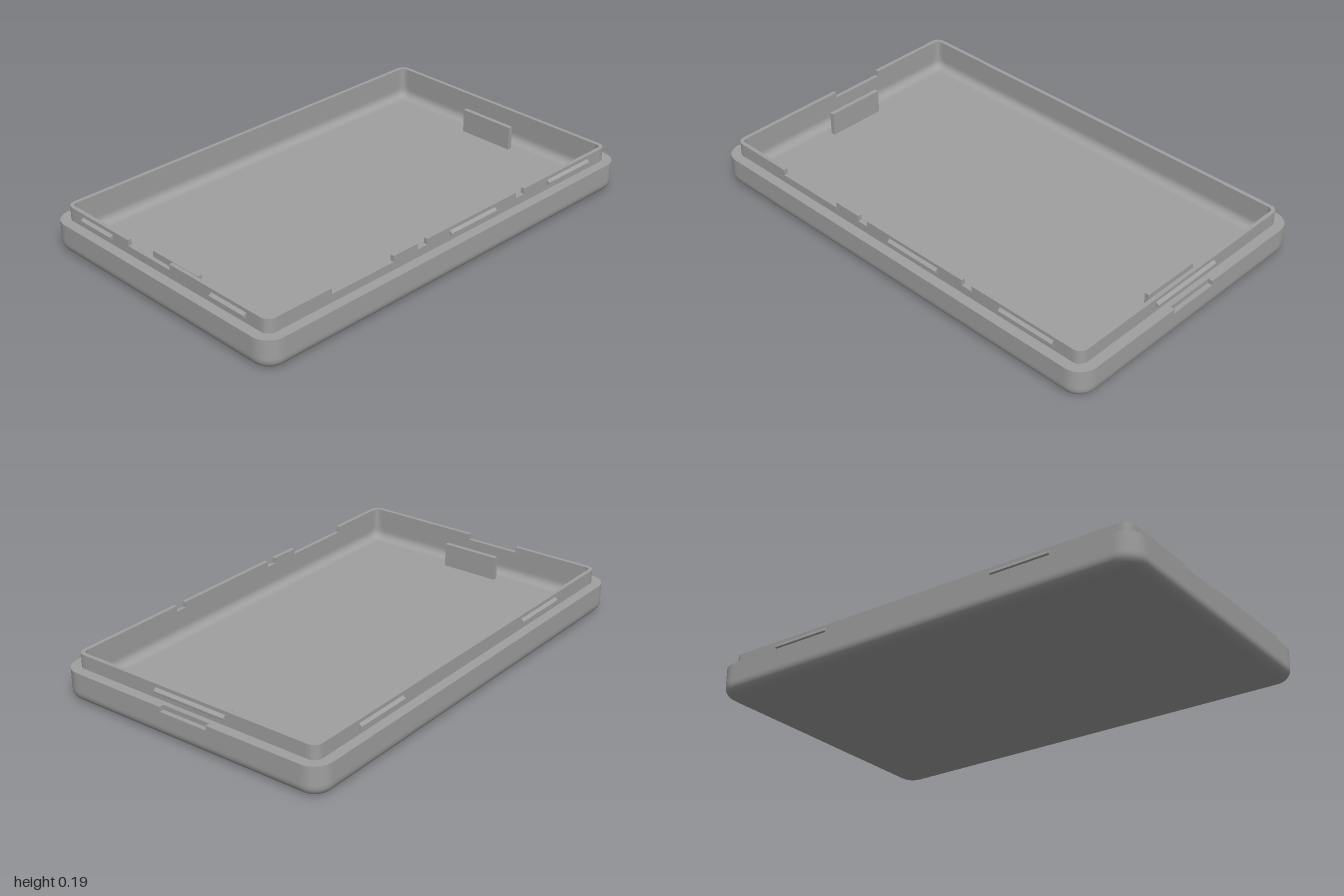
import * as THREE from 'three';
import { toCreasedNormals } from 'three/addons/utils/BufferGeometryUtils.js';

const HX = 1, HZ = 0.63, R = 0.08;      // outer half sizes and corner radius
const LIP_OUT = 0.043, LIP_IN = 0.06;   // insets of the lip faces
const V = (x, y) => new THREE.Vector2(x, y);

// Rounded corner in plan (y = -z), counter-clockwise: 0 right-back, 1 left-back, 2 left-front, 3 right-front
function corner(k, inset) {
  const sx = k === 0 || k === 3 ? 1 : -1, sy = k < 2 ? 1 : -1;
  const r = Math.max(R - inset, 0.012), n = 8, pts = [];
  const cx = sx * (HX - inset - r), cy = sy * (HZ - inset - r);
  for (let i = 0; i <= n; i++) {
    const a = (k + i / n) * Math.PI / 2;
    pts.push(V(cx + r * Math.cos(a), cy + r * Math.sin(a)));
  }
  // extra points on the straights keep the flat sides evenly shaded
  const a0 = k * Math.PI / 2, e = 0.01;
  const before = pts[0].clone().add(V(Math.sin(a0) * e, -Math.cos(a0) * e));
  const after = pts[n].clone().add(V(-Math.cos(a0) * e, -Math.sin(a0) * e));
  return [before, ...pts, after];
}
const outline = (inset) => [0, 1, 2, 3].flatMap((k) => corner(k, inset));

// Skin through rounded rectangles given as [inset, y], closed at both ends
function loft(rings) {
  const loops = rings.map(([d, y]) => outline(d).map((p) => [p.x, y, -p.y]));
  const n = loops[0].length, pos = [];
  const last = loops.length - 1;
  for (let j = 0; j < n; j++) {
    const k = (j + 1) % n;
    for (let i = 0; i < last; i++) {
      const a = loops[i][j], b = loops[i][k], c = loops[i + 1][k], d = loops[i + 1][j];
      pos.push(...a, ...b, ...c, ...a, ...c, ...d);
    }
    pos.push(0, rings[0][1], 0, ...loops[0][k], ...loops[0][j]);
    pos.push(0, rings[last][1], 0, ...loops[last][j], ...loops[last][k]);
  }
  const g = new THREE.BufferGeometry();
  g.setAttribute('position', new THREE.Float32BufferAttribute(pos, 3));
  return toCreasedNormals(g, 0.5);
}

// Plan shape raised from y0 to y1
function raise(shape, y0, y1) {
  const g = new THREE.ExtrudeGeometry(shape, { depth: y1 - y0, bevelEnabled: false });
  g.rotateX(-Math.PI / 2).translate(0, y0, 0);
  return toCreasedNormals(g, 0.5);
}

export function createModel() {
  const model = new THREE.Group();
  model.name = 'enclosureHalf';
  const grey = new THREE.MeshStandardMaterial({ color: 0xa0a0a0 });
  grey.name = 'grey plastic';
  const add = (name, geometry, parent = model) => {
    const m = new THREE.Mesh(geometry, grey);
    m.name = name;
    parent.add(m);
    return m;
  };

  // Tray: rounded bottom edge, outer wall, rim and filleted cavity
  const rings = [[0.06, 0]], f = 0.045, fi = 0.035, floor = 0.04;
  for (let i = 0; i <= 6; i++) {
    const a = i / 6 * Math.PI / 2;
    rings.push([f * (1 - Math.sin(a)), f * (1 - Math.cos(a))]);
  }
  rings.push([0, 0.055], [0, 0.11], [LIP_OUT, 0.11], [LIP_OUT, floor + fi + 0.01]);
  for (let i = 0; i <= 6; i++) {
    const a = i / 6 * Math.PI / 2;
    rings.push([LIP_OUT + fi * (1 - Math.cos(a)), floor + fi * (1 - Math.sin(a))]);
  }
  rings.push([LIP_OUT + fi + 0.01, floor]);
  add('tray', loft(rings));

  // Top band of the wall, with the pry slot in its left side
  const slot = [V(1, -0.113), V(0.98, -0.113), V(0.98, 0.113), V(1, 0.113)];
  const band = new THREE.Shape([...slot, ...outline(0)]);
  band.holes.push(new THREE.Path(outline(LIP_OUT).reverse()));
  add('rimBand', raise(band, 0.11, 0.13));

  // Lip: a full ring below, separate pieces above where the notches are
  const lip = new THREE.Group();
  lip.name = 'lip';
  model.add(lip);
  const ring = new THREE.Shape(outline(LIP_OUT));
  ring.holes.push(new THREE.Path(outline(LIP_IN).reverse()));
  add('lipRing', raise(ring, 0.1, 0.165), lip);

  const front = (x) => (d) => V(x, -(HZ - d));
  const side = (z) => (d) => V(-(HX - d), -z);
  const pieces = [
    [front(0.42), [3, 0, 1], side(-0.195)],
    [side(0.05), [2], front(-0.65)],
    [front(-0.33), [], front(-0.2)],
    [front(-0.15), [], front(0.37)],
  ];
  for (const [start, corners, end] of pieces) {
    const line = (d) => [start(d), ...corners.flatMap((k) => corner(k, d)), end(d)];
    const shape = new THREE.Shape([...line(LIP_OUT), ...line(LIP_IN).reverse()]);
    add('lipTop', raise(shape, 0.165, 0.19), lip);
  }

  // Snap ridges: wedge bars along the lip, [centre, length] on each side
  const wedge = new THREE.Shape([V(-0.004, -0.013), V(0, -0.013), V(0.012, -0.003), V(0.012, 0.003), V(0, 0.013), V(-0.004, 0.013)]);
  const ridge = (x, z, length, turn) => {
    const g = new THREE.ExtrudeGeometry(wedge, { depth: length, bevelEnabled: false });
    g.translate(0, 0, -length / 2);
    const m = add('snapRidge', g, lip);
    m.position.set(x, 0.162, z);
    m.rotation.y = turn;
  };
  const lx = HX - LIP_OUT, lz = HZ - LIP_OUT;
  for (const x of [0.11, 0.6975]) ridge(x, lz, 0.263, -Math.PI / 2);
  for (const x of [-0.4925, 0.5825]) ridge(x, -lz, 0.265, Math.PI / 2);
  for (const z of [-0.385, 0.38]) ridge(-lx, z, 0.188, Math.PI);
  ridge(lx, 0, 0.343, 0);

  // Upright ribs on the floor
  for (const s of [-1, 1]) {
    add('floorRib', new THREE.BoxGeometry(0.02, 0.11, 0.263)).position.set(s * 0.882, 0.09, 0);
  }
  return model;
}
